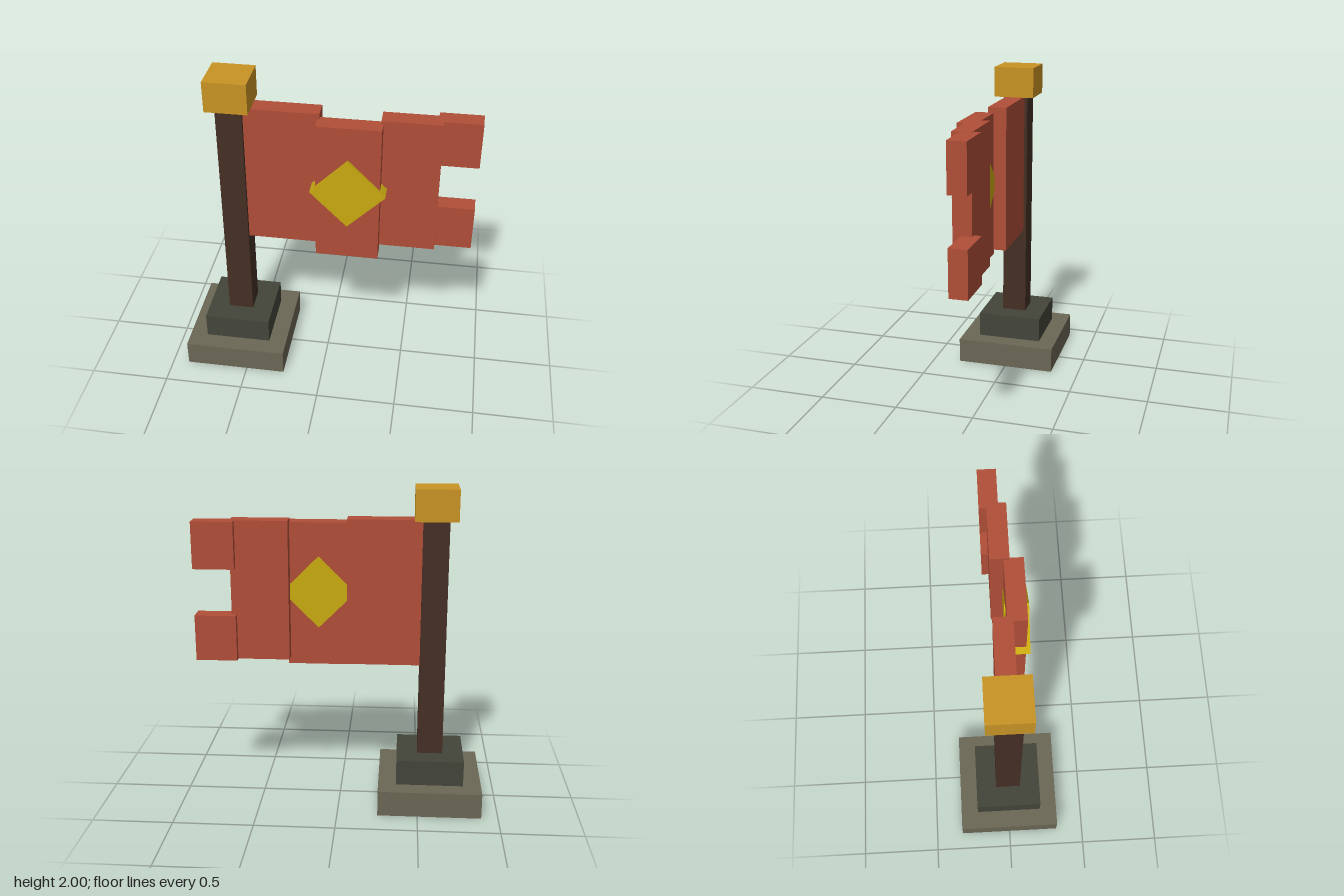
import * as THREE from 'three';

const material = (name, color) => {
  const m = new THREE.MeshStandardMaterial({ color });
  m.name = name;
  return m;
};

export function createModel() {
  const group = new THREE.Group();
  group.name = 'bannerOnPole';

  const stone = material('stone', 0x6b6755);
  const darkStone = material('darkStone', 0x43453a);
  const wood = material('darkWood', 0x452f25);
  const gold = material('gold', 0xc89324);
  const cloth = material('redCloth', 0xb04e38);
  const yellow = material('yellow', 0xc8aa10);

  // Box given by its min and max on each axis
  const box = (name, mat, [x0, x1], [y0, y1], [z0, z1]) => {
    const mesh = new THREE.Mesh(new THREE.BoxGeometry(x1 - x0, y1 - y0, z1 - z0), mat);
    mesh.position.set((x0 + x1) / 2, (y0 + y1) / 2, (z0 + z1) / 2);
    mesh.name = name;
    group.add(mesh);
    return mesh;
  };

  // Square post pieces stacked on one axis
  const postX = -0.574;
  const post = (name, mat, half, y) =>
    box(name, mat, [postX - half, postX + half], y, [-half, half]);
  post('baseSlab', stone, 0.322, [0, 0.162]);
  post('baseStep', darkStone, 0.21, [0.162, 0.324]);
  post('pole', wood, 0.079, [0.324, 1.81]);
  post('finial', gold, 0.129, [1.81, 2]);

  // Cloth panels, staggered in depth like a wave
  box('innerPanel', cloth, [-0.5, -0.043], [0.905, 1.81], [-0.06, 0.055]);
  box('middlePanel', cloth, [-0.057, 0.327], [0.875, 1.775], [0.021, 0.136]);
  box('outerPanel', cloth, [0.313, 0.668], [0.925, 1.795], [-0.06, 0.055]);
  box('upperTail', cloth, [0.636, 0.892], [1.503, 1.793], [-0.104, 0.008]);
  box('lowerTail', cloth, [0.636, 0.892], [0.925, 1.212], [-0.104, 0.008]);

  // Diamond emblem passing through the middle panel
  const side = 0.32;
  const emblem = box('diamondEmblem', yellow,
    [0.136 - side / 2, 0.136 + side / 2], [1.341 - side / 2, 1.341 + side / 2], [0.014, 0.159]);
  emblem.rotation.z = Math.PI / 4;

  return group;
}
